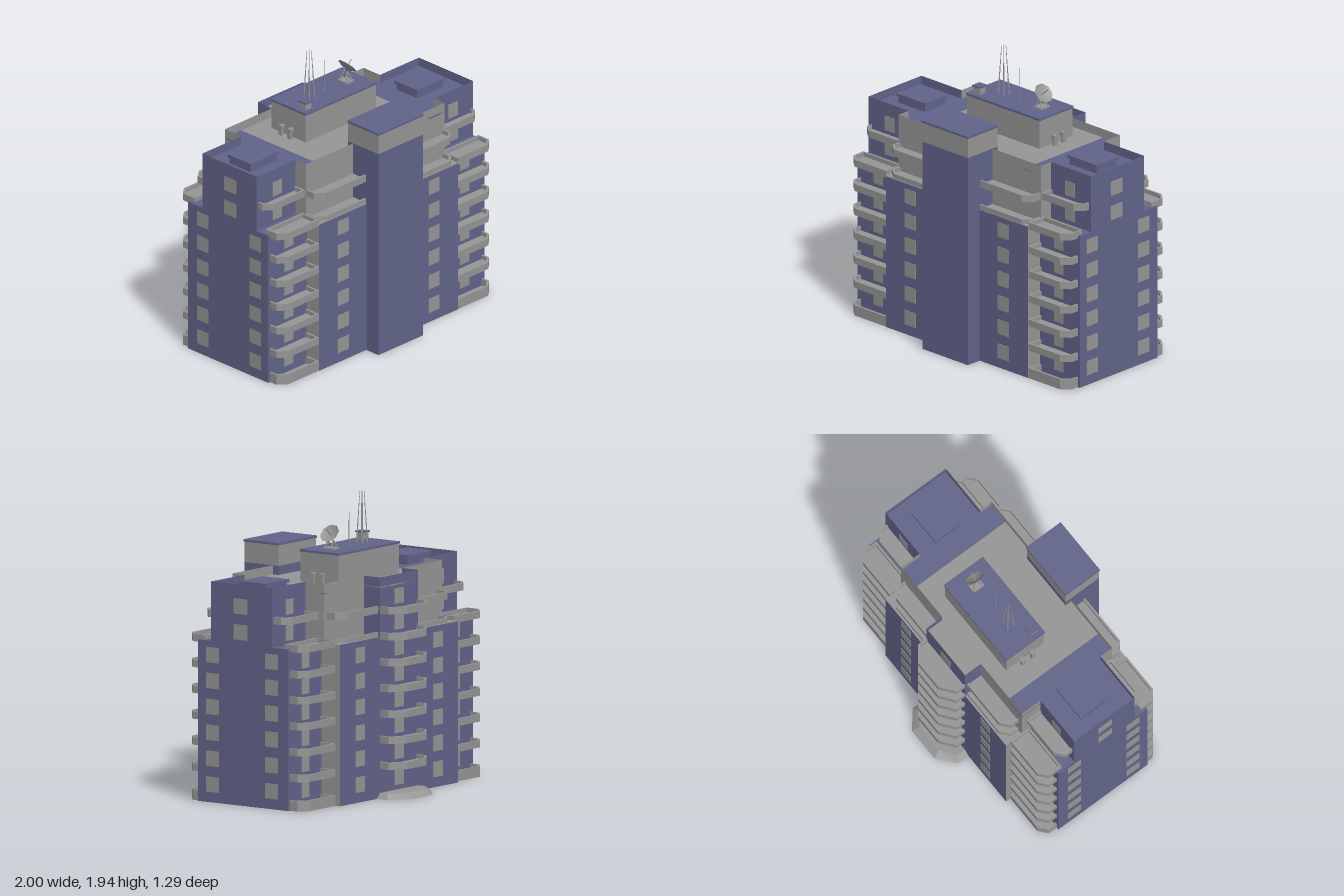
import * as THREE from 'three';

export function createModel() {
  const model = new THREE.Group();
  model.name = 'apartmentBlock';
  const blue = new THREE.MeshStandardMaterial({ color: 0x62648a, side: THREE.DoubleSide });
  const grey = new THREE.MeshStandardMaterial({ color: 0x969696, side: THREE.DoubleSide });
  blue.name = 'slate blue';
  grey.name = 'concrete grey';

  function add(name, geometry, material) {
    const mesh = new THREE.Mesh(geometry, material);
    mesh.name = name;
    model.add(mesh);
    return mesh;
  }

  // Box given by its limits on each axis
  function box(name, mat, x0, x1, y0, y1, z0, z1) {
    const g = new THREE.BoxGeometry(Math.abs(x1 - x0), y1 - y0, Math.abs(z1 - z0));
    return add(name, g.translate((x0 + x1) / 2, (y0 + y1) / 2, (z0 + z1) / 2), mat);
  }

  // Thin upright wall following a plan path of [x, z] points
  function wall(name, mat, path, y0, y1) {
    const p = [];
    for (let i = 0; i + 1 < path.length; i++) {
      const [ax, az] = path[i], [bx, bz] = path[i + 1];
      p.push(ax, y0, az, bx, y0, bz, bx, y1, bz, ax, y0, az, bx, y1, bz, ax, y1, az);
    }
    const g = new THREE.BufferGeometry();
    g.setAttribute('position', new THREE.Float32BufferAttribute(p, 3));
    g.computeVertexNormals();
    return add(name, g, mat);
  }

  // Plan outline with outer corners cut by c0 (at x0) and c1 (at x1)
  function outline(x0, x1, zIn, zOut, c0, c1, cz) {
    const k = Math.sign(zOut - zIn) * cz;
    const pts = [[x0, zIn], [x0, c0 ? zOut - k : zOut], [x0 + c0, zOut],
      [x1 - c1, zOut], [x1, c1 ? zOut - k : zOut], [x1, zIn]];
    return pts.map(([x, z]) => new THREE.Vector2(x, -z));
  }

  function extrudeUp(shape, y0, y1) {
    const g = new THREE.ExtrudeGeometry(shape, { depth: y1 - y0, bevelEnabled: false });
    return g.rotateX(-Math.PI / 2).translate(0, y0, 0);
  }

  // Balcony: floor slab with a low parapet rim
  function balcony(name, x0, x1, zWall, zOut, y0, y1, c0, c1, cz) {
    const d = Math.sign(zOut - zWall), t = 0.014;
    const zIn = zWall - d * 0.04;
    const pts = outline(x0, x1, zIn, zOut, c0, c1, cz);
    add(name + 'Floor', extrudeUp(new THREE.Shape(pts), y0, y0 + 0.02), grey);
    const rim = new THREE.Shape(pts);
    rim.holes.push(new THREE.Path(outline(x0 + t, x1 - t, zIn + d * t, zOut - d * t, c0 * 0.9, c1 * 0.9, cz * 0.9)));
    add(name + 'Rim', extrudeUp(rim, y0 + 0.02, y1), grey);
  }

  const storey = 0.17, terraceY = 1.06, roofY = 1.39, topY = 1.45;
  const floorTop = i => 0.07 + storey * i;
  const floorBase = i => (i === 0 ? 0 : floorTop(i) - 0.048);

  const windowZ = (x, w, z, i) =>
    box('window', grey, x - w / 2, x + w / 2, floorTop(i) - 0.003, floorTop(i) + 0.098, z - 0.003, z + 0.003);
  const windowX = (x, z0, z1, i) =>
    box('window', grey, x - 0.003, x + 0.003, floorTop(i) - 0.003, floorTop(i) + 0.098, z0, z1);

  // Central block: lower and upper walls, terrace and roof
  wall('centreFrontWall', blue, [[-0.64, 0.53], [0.64, 0.53]], 0, terraceY);
  wall('centreBackWall', blue, [[-0.64, -0.46], [0.64, -0.46]], 0, terraceY);
  box('centreTerrace', grey, -0.64, 0.64, terraceY - 0.008, terraceY, -0.46, 0.53);
  wall('upperFrontWall', grey, [[-0.64, 0.315], [-0.64, 0.41], [0.64, 0.41], [0.64, 0.315]], terraceY, topY);
  box('centreRoof', grey, -0.49, 0.49, roofY - 0.01, roofY, -0.33, 0.41);

  // Back stair tower
  wall('backTowerWalls', blue, [[-0.205, -0.33], [-0.205, -0.46], [0.205, -0.46], [0.205, -0.33]], terraceY, topY);
  box('backTowerRoof', grey, -0.205, 0.205, roofY - 0.01, roofY, -0.46, -0.33);

  // Front stair tower with its head room
  wall('frontTowerWalls', blue,
    [[-0.205, 0.365], [-0.205, 0.64], [0.205, 0.64], [0.205, 0.365], [-0.205, 0.365]], 0, topY);
  box('frontTowerHead', grey, -0.205, 0.205, topY, 1.585, 0.365, 0.64);
  box('frontTowerCap', blue, -0.209, 0.209, 1.585, 1.6, 0.361, 0.645);

  // Side wings, mirrored
  for (const s of [1, -1]) {
    const path = pts => pts.map(([x, z]) => [s * x, z]);
    wall('wingLowerWalls', blue, path([[0.64, 0.42], [1, 0.42], [1, -0.31], [0.64, -0.31]]), 0, terraceY);
    wall('frontStepWall', grey, path([[0.64, 0.53], [0.64, 0.42]]), 0, terraceY);
    wall('backStepWall', grey, path([[0.64, -0.31], [0.64, -0.46]]), 0, terraceY);
    box('wingTerrace', blue, s * 0.64, s, terraceY - 0.008, terraceY, -0.31, 0.42);
    wall('wingUpperWalls', blue, path([[0.64, 0.315], [1, 0.315], [1, -0.18], [0.64, -0.18]]), terraceY, topY);
    wall('upperBackWall', grey, path([[0.64, -0.18], [0.64, -0.33], [0.205, -0.33]]), terraceY, topY);
    box('sideRoof', blue, s * 0.49, s * 0.64, roofY - 0.01, roofY, -0.33, 0.41);
    box('wingRoof', blue, s * 0.64, s, roofY - 0.01, roofY, -0.18, 0.315);
    box('roofPadBase', blue, s * 0.65, s * 0.89, roofY, 1.435, -0.04, 0.15);
    box('roofPad', blue, s * 0.64, s * 0.9, 1.435, 1.455, -0.05, 0.16);

    // Roof vents beside the penthouse
    for (const z of [-0.1, -0.02]) {
      box('roofVent', grey, s * 0.345, s * 0.365, roofY, 1.46, z - 0.015, z + 0.015);
      box('ventElbow', grey, s * 0.33, s * 0.345, 1.435, 1.46, z - 0.012, z + 0.012);
    }

    // Wing balconies and windows on every floor
    const x0 = s > 0 ? 0.64 : -0.983, x1 = s > 0 ? 0.983 : -0.64;
    const c0 = s > 0 ? 0 : 0.06, c1 = s > 0 ? 0.06 : 0;
    for (let i = 0; i < 8; i++) {
      const zf = i < 7 ? 0.42 : 0.315, zb = i < 7 ? -0.31 : -0.18;
      balcony('wingFrontBalcony', x0, x1, zf, i < 7 ? 0.527 : 0.4, floorBase(i), floorTop(i), c0, c1, 0.05);
      balcony('wingBackBalcony', x0, x1, zb, i < 7 ? -0.425 : -0.29, floorBase(i), floorTop(i), c0, c1, 0.05);
      windowZ(s * 0.812, 0.085, i < 6 ? 0.42 : 0.315, i);
      windowZ(s * 0.812, 0.085, i < 6 ? -0.31 : -0.18, i);
      if (i < 6) {
        windowZ(s * 0.42, 0.1, 0.53, i);
        windowZ(s * 0.42, 0.1, -0.46, i);
        windowX(s * 0.998, 0.25, 0.355, i);
        windowX(s * 0.998, -0.23, -0.125, i);
      } else {
        windowX(s * 0.998, 0.02, 0.13, i);
      }
    }
  }

  // Long balconies around the upper storeys
  for (const i of [6, 7]) {
    balcony('upperFrontBalcony', -0.635, 0.635, 0.41, 0.525, floorBase(i), floorTop(i), 0.06, 0.06, 0.05);
    balcony('upperBackBalcony', -0.605, 0.605, -0.33, -0.445, floorBase(i), floorTop(i), 0.06, 0.06, 0.05);
  }

  // Middle balconies at the back, with windows behind
  for (let i = 0; i < 8; i++) {
    windowZ(0, 0.1, -0.46, i);
    if (i > 0) balcony('backBalcony', -0.205, 0.205, -0.46, -0.605, floorBase(i), floorTop(i), 0.1, 0.1, 0.075);
  }

  // Entrance plinth at the back, tapered towards its top
  const plinth = extrudeUp(new THREE.Shape(outline(-0.24, 0.24, -0.45, -0.645, 0.12, 0.12, 0.1)), 0, 0.036);
  const pos = plinth.attributes.position;
  for (let i = 0; i < pos.count; i++) {
    if (pos.getY(i) > 0.02) {
      pos.setX(i, pos.getX(i) * 0.85);
      pos.setZ(i, -0.45 + (pos.getZ(i) + 0.45) * 0.75);
    }
  }
  plinth.computeVertexNormals();
  add('entrancePlinth', plinth, grey);

  // Penthouse and small roof box
  box('penthouse', grey, -0.325, 0.325, roofY, 1.585, -0.215, 0.095);
  box('penthouseCap', blue, -0.33, 0.33, 1.585, 1.6, -0.22, 0.1);
  box('roofBox', grey, -0.295, -0.24, 1.6, 1.645, 0.01, 0.065);
  box('roofBoxCap', blue, -0.302, -0.235, 1.645, 1.655, 0.003, 0.072);

  // Slim rod between two points
  function rod(name, a, b, r0, r1) {
    const from = new THREE.Vector3(...a), dir = new THREE.Vector3(...b).sub(from);
    const g = new THREE.CylinderGeometry(r1, r0, dir.length(), 6).translate(0, dir.length() / 2, 0);
    const mesh = add(name, g, grey);
    mesh.position.copy(from);
    mesh.quaternion.setFromUnitVectors(new THREE.Vector3(0, 1, 0), dir.normalize());
  }

  // Antenna cluster and single mast
  for (const sx of [-1, 1]) {
    for (const sz of [-1, 1]) {
      rod('antennaRod', [-0.14 + sx * 0.025, 1.6, -0.055 + sz * 0.025],
        [-0.14 + sx * 0.01, 1.94, -0.055 + sz * 0.01], 0.005, 0.0015);
    }
  }
  rod('mast', [0, 1.6, -0.055], [0, 1.82, -0.055], 0.003, 0.002);

  // Satellite dish on a four-legged stand
  box('dishBase', grey, 0.165, 0.235, 1.6, 1.612, -0.1, -0.015);
  for (const sx of [-1, 1]) {
    for (const sz of [-1, 1]) {
      rod('dishLeg', [0.2 + sx * 0.025, 1.612, -0.058 + sz * 0.032], [0.2, 1.67, -0.058 + sz * 0.012], 0.005, 0.005);
    }
  }
  const profile = [[0, 0], [0.04, 0.006], [0.07, 0.022]].map(([x, y]) => new THREE.Vector2(x, y));
  const dish = add('dish', new THREE.LatheGeometry(profile, 8, Math.PI / 8), grey);
  dish.position.set(0.2, 1.69, -0.058);
  dish.rotation.z = -0.83;
  rod('dishFeed', [0.2, 1.69, -0.058], [0.255, 1.74, -0.058], 0.003, 0.003);

  return model;
}
